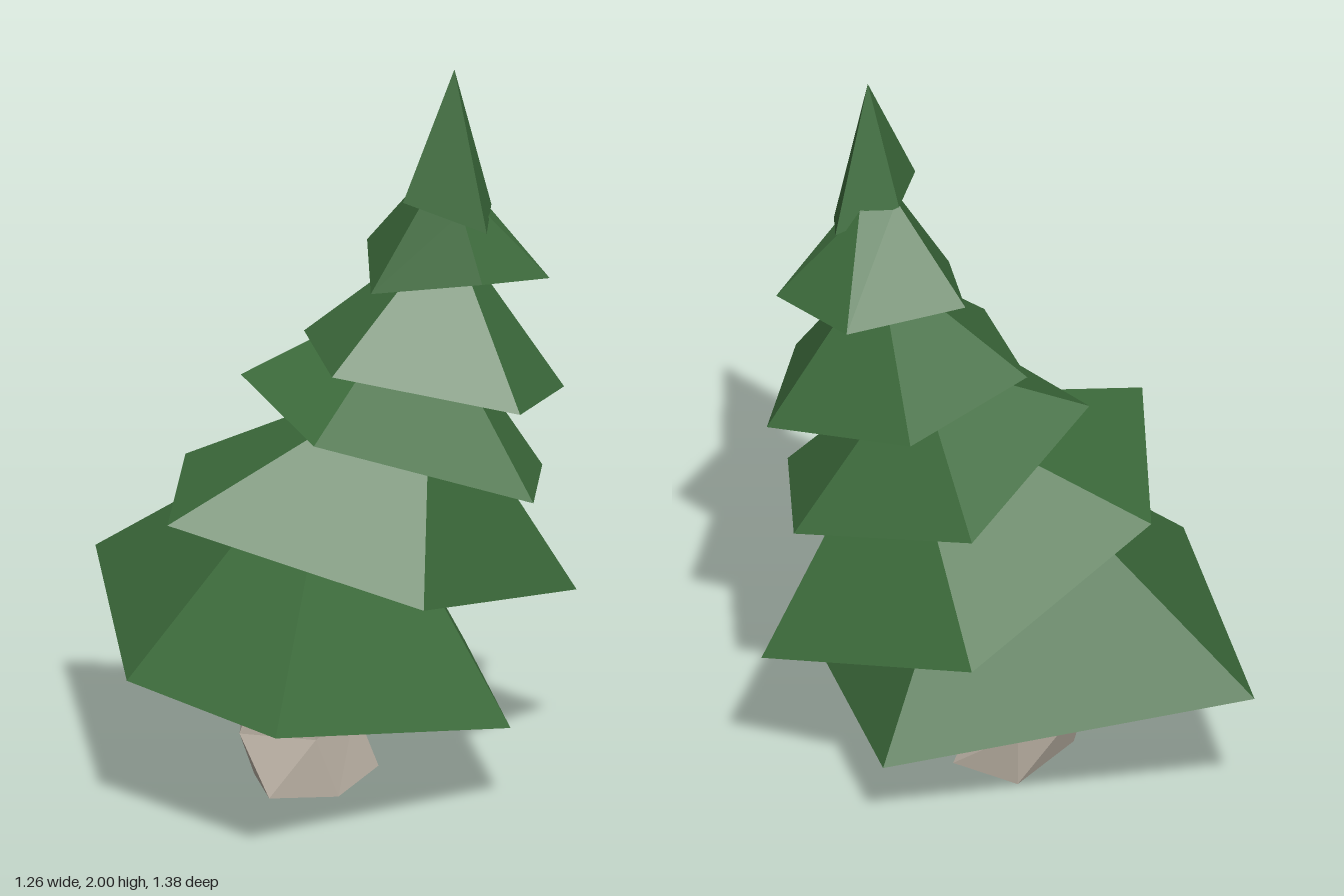
import * as THREE from 'three';

// Closed flat-shaded solid from rings of equal count (bottom to top, anticlockwise from above).
// A ring of one repeated point closes to a tip.
function loft(name, rings, material) {
  const pos = [];
  const n = rings[0].length;
  const tri = (a, b, c) => pos.push(...a, ...b, ...c);
  for (let r = 0; r < rings.length - 1; r++) {
    const lo = rings[r], hi = rings[r + 1];
    for (let i = 0; i < n; i++) {
      const j = (i + 1) % n;
      if (lo[i] !== lo[j]) tri(lo[i], lo[j], hi[j]);
      if (hi[i] !== hi[j]) tri(lo[i], hi[j], hi[i]);
    }
  }
  const geometry = new THREE.BufferGeometry();
  geometry.setAttribute('position', new THREE.Float32BufferAttribute(pos, 3));
  geometry.computeVertexNormals();
  const mesh = new THREE.Mesh(geometry, material);
  mesh.name = name;
  return mesh;
}

const centroid = (ring) => [0, 1, 2].map((k) => ring.reduce((sum, p) => sum + p[k], 0) / ring.length);
const lerp = (a, b, t) => a.map((v, k) => v + (b[k] - v) * t);
const tip = (ring, point) => ring.map(() => point);

// Foliage tiers, bottom to top: apex, then rings of corners (tilted rim, optional shoulder)
const tiers = [
  { apex: [-0.02, 1.0, -0.05], rings: [[[-0.63, 0.39, 0.21], [-0.33, 0.375, 0.69], [0.37, 0.225, 0.307], [0.385, 0.23, -0.39], [-0.535, 0.45, -0.69]]] },
  { apex: [0.22, 1.13, -0.01], rings: [[[-0.53, 0.825, 0.25], [0.125, 0.59, 0.38], [0.628, 0.447, -0.11], [0.21, 0.63, -0.6], [-0.365, 0.81, -0.34]]] },
  { apex: [0.21, 1.31, -0.125], rings: [[[-0.255, 1.085, -0.155], [-0.14, 1.015, 0.245], [0.445, 0.815, 0.235], [0.533, 0.805, -0.09], [0.155, 0.915, -0.43]]] },
  { apex: [0.26, 1.53, 0.04], rings: [[[-0.09, 1.2, -0.14], [-0.085, 1.19, 0.21], [0.39, 1.097, 0.335], [0.565, 1.063, 0.04], [0.278, 1.155, -0.29]]] },
  {
    apex: [0.25, 1.8, 0.15],
    rings: [
      [[0.028, 1.395, 0.16], [0.31, 1.425, 0.23], [0.507, 1.4, 0.14], [0.395, 1.415, -0.11], [0.075, 1.445, -0.127]],
      [[0.165, 1.63, 0.15], [0.265, 1.61, 0.18], [0.33, 1.6, 0.15], [0.3, 1.66, 0.075], [0.205, 1.69, 0.055]],
    ],
  },
  { apex: [0.25, 2.0, 0.16], rings: [[[0.103, 1.66, 0.213], [0.325, 1.56, 0.215], [0.363, 1.595, 0.085], [0.203, 1.68, 0.04]]] },
];

// Crooked trunk: height, then x and z of five corners
const trunkRings = [
  [0, [[-0.23, 0.1], [-0.05, 0.12], [0.1, -0.1], [-0.03, -0.245], [-0.23, -0.1]]],
  [0.16, [[-0.295, 0.03], [-0.11, 0.12], [0.04, -0.11], [-0.03, -0.25], [-0.25, -0.15]]],
  [0.36, [[-0.235, 0.05], [-0.13, 0.11], [-0.015, -0.08], [-0.07, -0.22], [-0.2, -0.13]]],
  [0.55, [[-0.2, 0.05], [-0.12, 0.09], [-0.01, -0.06], [-0.06, -0.2], [-0.18, -0.12]]],
];

export function createModel() {
  const group = new THREE.Group();
  group.name = 'pineTree';
  const leaf = new THREE.MeshStandardMaterial({ color: 0x3d6c3c, flatShading: true });
  const bark = new THREE.MeshStandardMaterial({ color: 0xbcb2a5, flatShading: true });

  // Trunk, closed at both ends
  const rings = trunkRings.map(([y, corners]) => corners.map(([x, z]) => [x, y, z]));
  const bottom = rings[0], top = rings[rings.length - 1];
  group.add(loft('trunk', [tip(bottom, centroid(bottom)), ...rings, tip(top, centroid(top))], bark));

  // Foliage, each tier with a hollowed underside
  tiers.forEach(({ apex, rings: tierRings }, i) => {
    const rim = tierRings[0];
    const hollow = lerp(centroid(rim), apex, 0.2);
    group.add(loft(`foliageTier${i + 1}`, [tip(rim, hollow), ...tierRings, tip(rim, apex)], leaf));
  });
  return group;
}
